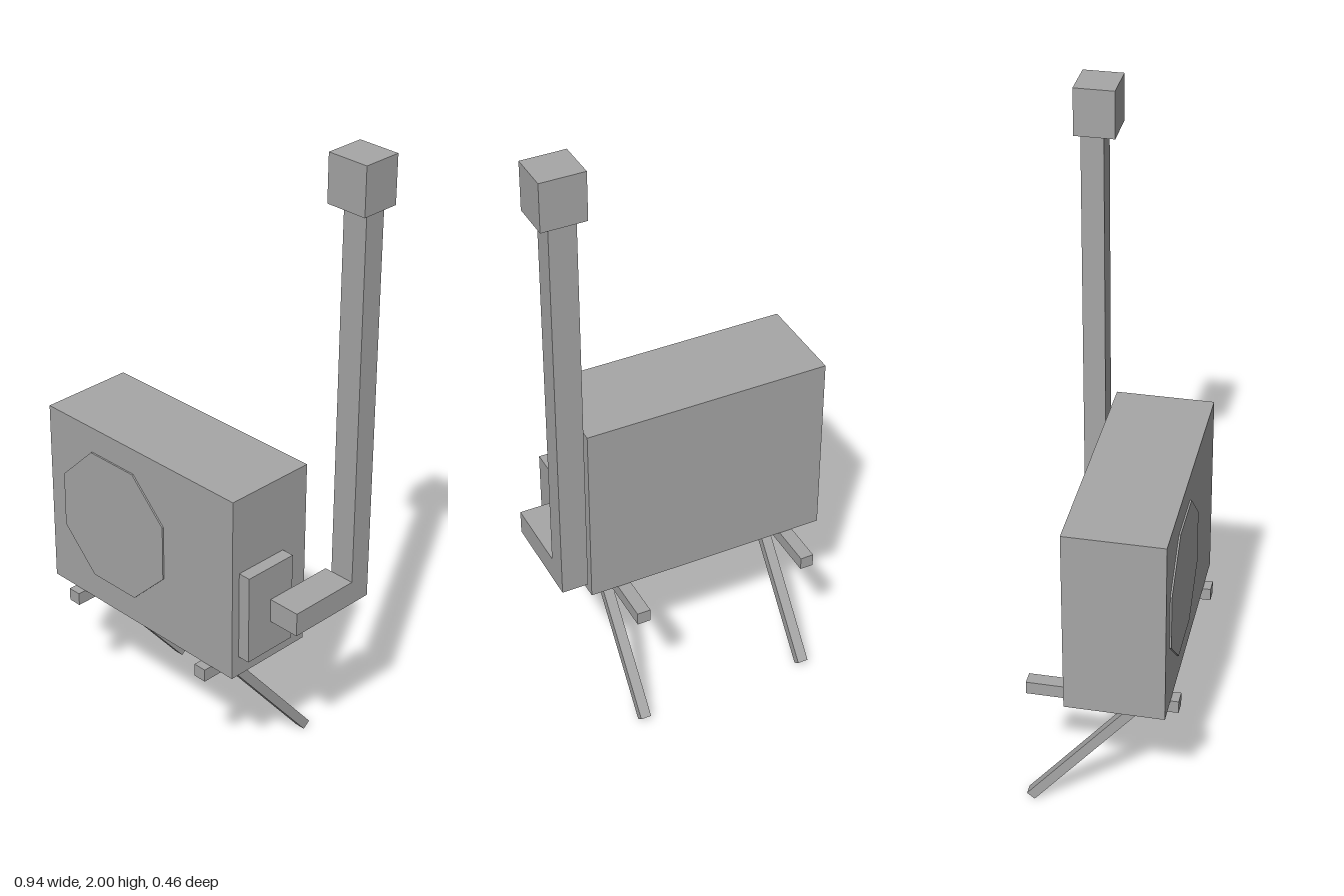
import * as THREE from 'three';

export function createModel() {
  const model = new THREE.Group();
  const grey = new THREE.MeshStandardMaterial({ color: 0xa6a6a6 });
  grey.name = 'plain grey';

  function add(name, geometry) {
    const mesh = new THREE.Mesh(geometry, grey);
    mesh.name = name;
    model.add(mesh);
    return mesh;
  }

  // Box given by its lower and upper limits on each axis
  function block(name, [x0, x1], [y0, y1], [z0, z1]) {
    const mesh = add(name, new THREE.BoxGeometry(x1 - x0, y1 - y0, z1 - z0));
    mesh.position.set((x0 + x1) / 2, (y0 + y1) / 2, (z0 + z1) / 2);
    return mesh;
  }

  // Main casing with the connection cover on its side
  block('casing', [-0.468, 0.298], [0.455, 1.05], [-0.088, 0.207]);
  block('sideCover', [0.298, 0.337], [0.52, 0.805], [0.004, 0.18]);

  // Thin octagonal fan plate on the front
  const apothem = 0.213;
  const plate = new THREE.CylinderGeometry(1, 1, 0.005, 8);
  plate.rotateY(Math.PI / 8).rotateX(Math.PI / 2);
  const radius = apothem / Math.cos(Math.PI / 8);
  plate.scale(radius, radius, 1);
  const fan = add('fanPlate', plate.toNonIndexed());
  fan.geometry.computeVertexNormals();
  fan.position.set(-0.195, 0.755, 0.2095);

  // Pipe duct: elbow, riser and end cap
  block('ductElbow', [0.337, 0.44], [0.62, 0.695], [-0.137, 0.092]);
  block('ductRiser', [0.36, 0.44], [0.62, 1.855], [-0.205, -0.137]);
  block('ductCap', [0.335, 0.467], [1.855, 2], [-0.22, -0.099]);

  // Two mounting rails, each with a slanted brace running down to the back
  const top = new THREE.Vector3(0, 0.425, 0.124);
  const foot = new THREE.Vector3(0, 0.0105, -0.217);
  for (const x of [-0.359, 0.19]) {
    block('mountingRail', [x - 0.021, x + 0.021], [0.412, 0.453], [-0.22, 0.231]);
    const brace = add('brace', new THREE.BoxGeometry(0.033, top.distanceTo(foot), 0.03));
    brace.position.addVectors(top, foot).multiplyScalar(0.5).setX(x);
    brace.rotation.x = Math.atan2(top.z - foot.z, top.y - foot.y);
  }

  return model;
}
